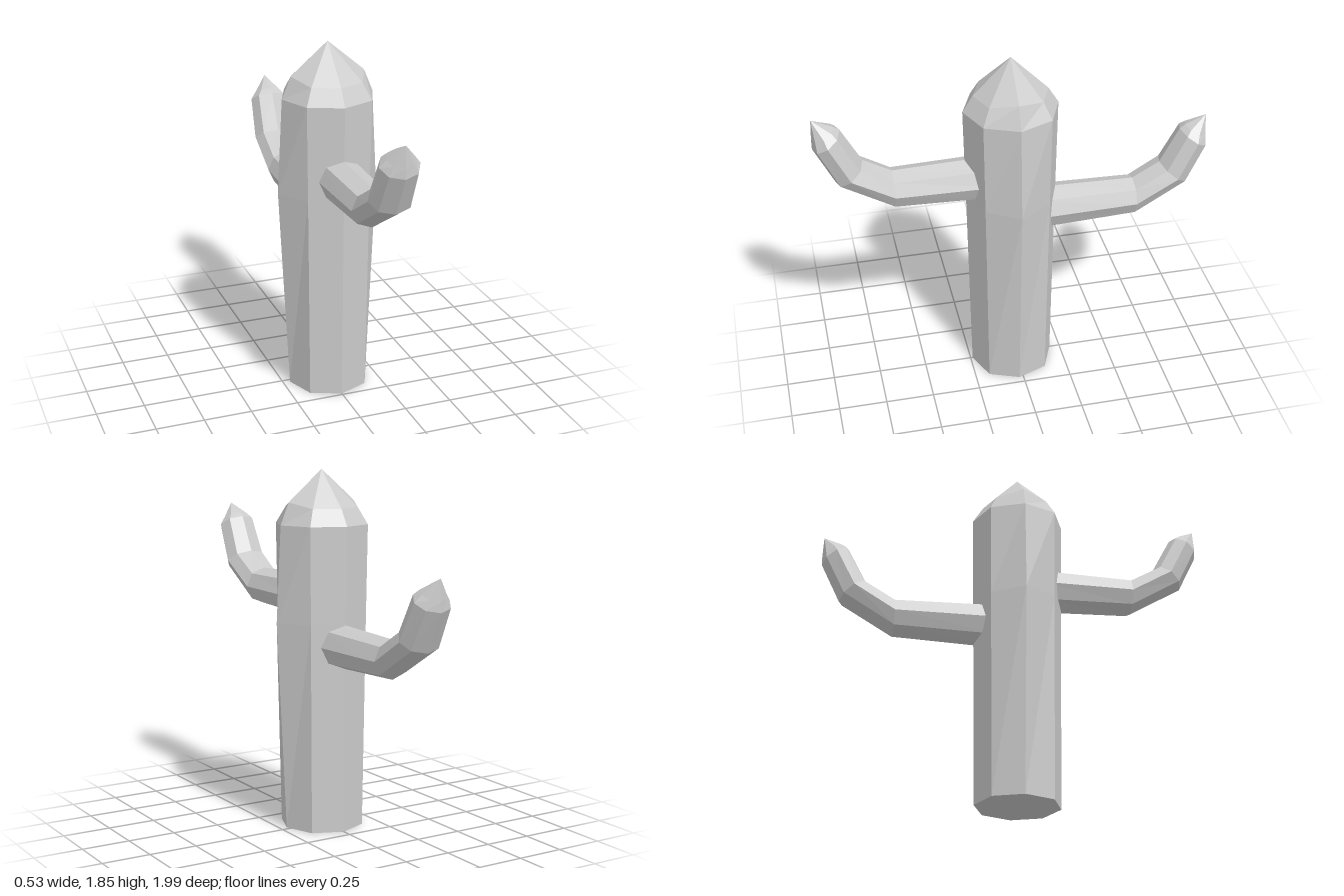
import * as THREE from 'three';

const SIDES = 8;

// Ring of points: rx across x, (hy, hz) is the second half axis.
// side / lift move only the two outermost x corners.
function ring(y, z, rx, hy, hz, side = rx, lift = 0) {
  return Array.from({ length: SIDES }, (_, i) => {
    const a = (i / SIDES) * Math.PI * 2;
    const c = Math.cos(a), s = Math.sin(a);
    const outer = i % (SIDES / 2) === 0;
    return new THREE.Vector3(c * (outer ? side : rx), y + s * hy + (outer ? lift : 0), z + s * hz);
  });
}

// Faceted skin through the rings, closed by a base centre and a pointed tip.
function loft(name, rings, base, tip, material) {
  const pos = [];
  const tri = (...pts) => pts.forEach((p) => pos.push(p.x, p.y, p.z));
  const last = rings[rings.length - 1];
  for (let i = 0; i < SIDES; i++) {
    const j = (i + 1) % SIDES;
    tri(base, rings[0][j], rings[0][i]);
    for (let k = 0; k < rings.length - 1; k++) {
      const a = rings[k], b = rings[k + 1];
      tri(a[i], a[j], b[j]);
      tri(a[i], b[j], b[i]);
    }
    tri(last[i], last[j], tip);
  }
  const geometry = new THREE.BufferGeometry();
  geometry.setAttribute('position', new THREE.Float32BufferAttribute(pos, 3));
  geometry.computeVertexNormals();
  const mesh = new THREE.Mesh(geometry, material);
  mesh.name = name;
  return mesh;
}

export function createModel() {
  const model = new THREE.Group();
  model.name = 'cactus';
  const material = new THREE.MeshStandardMaterial({ color: 0xcccccc, flatShading: true });

  // Trunk: height, radius, radius of the side corners, lift of the side corners
  const cz = 0.022;
  const trunkRings = [
    [0, 0.217, 0.213, 0],
    [1.08, 0.232, 0.266, 0],
    [1.57, 0.24, 0.24, 0],
    [1.655, 0.188, 0.193, 0.028],
  ].map(([y, r, side, lift]) => ring(y, cz, r, 0, -r, side, lift));
  model.add(loft('trunk', trunkRings,
    new THREE.Vector3(0, 0, cz), new THREE.Vector3(0, 1.845, cz), material));

  // Arm: half width, then upper and lower edge as (z, y)
  const armRings = [
    [0.117, 0.1, 1.3, 0.1, 1.07],
    [0.106, 0.62, 1.285, 0.62, 1.09],
    [0.111, 0.76, 1.365, 0.9, 1.26],
    [0.1, 0.858, 1.55, 0.997, 1.46],
    [0.07, 0.885, 1.57, 0.997, 1.512],
  ].map(([rx, zt, yt, zb, yb]) =>
    ring((yt + yb) / 2, (zt + zb) / 2, rx, (yt - yb) / 2, (zt - zb) / 2));
  const makeArm = (name) => loft(name, armRings,
    new THREE.Vector3(0, 1.185, 0.1), new THREE.Vector3(0, 1.617, 0.992), material);

  const frontArm = makeArm('frontArm');
  const backArm = makeArm('backArm');
  backArm.rotation.y = Math.PI;
  backArm.position.y = -0.22;
  model.add(frontArm, backArm);
  return model;
}
